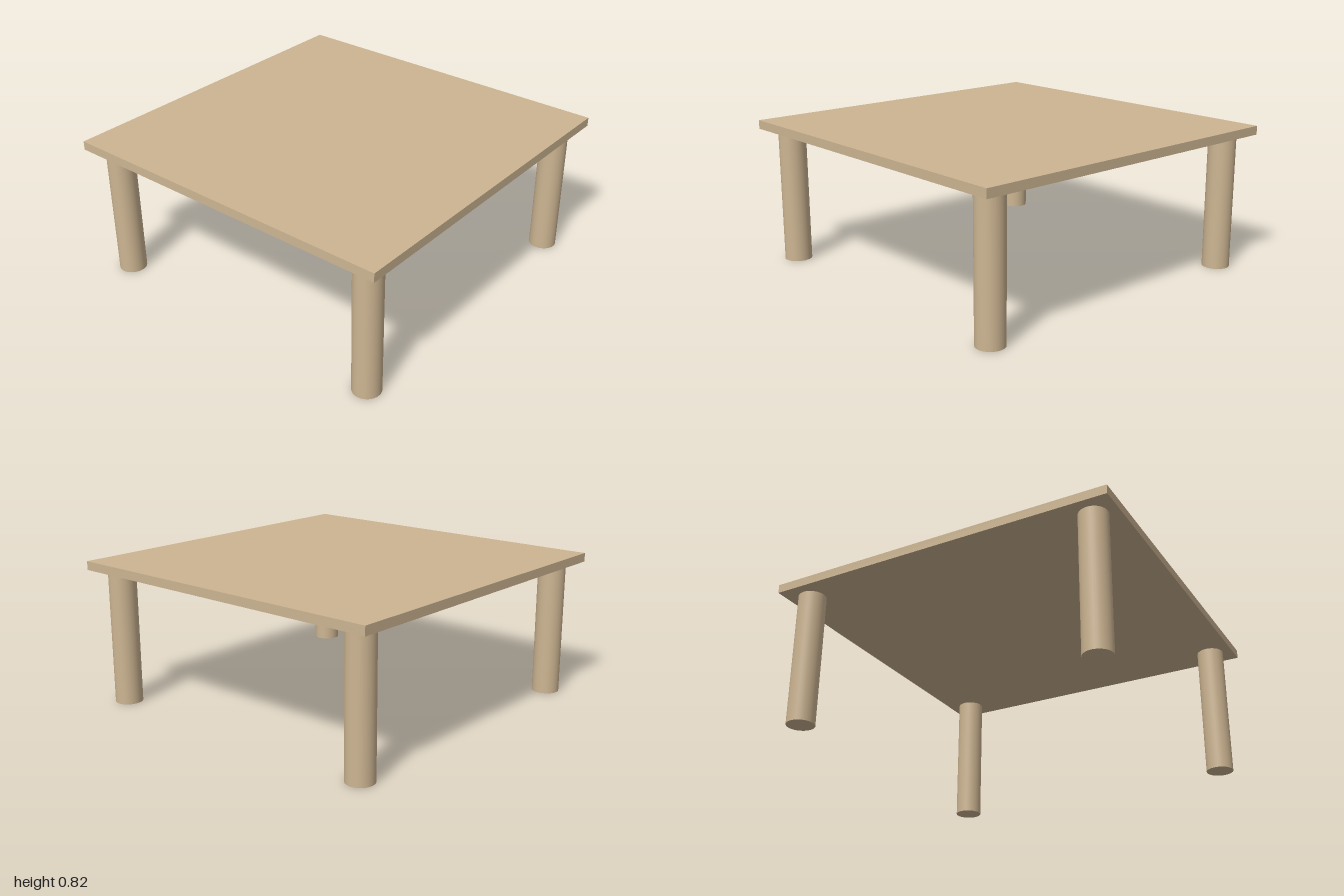
import * as THREE from 'three';

export function createModel() {
  const table = new THREE.Group();
  table.name = 'table';
  const wood = new THREE.MeshStandardMaterial({ color: 0xcdb592 });

  const height = 0.825, topThickness = 0.05;
  const legHeight = height - topThickness;
  const legRadius = 0.078, legOffset = 0.866;

  // Square table top
  const top = new THREE.Mesh(new THREE.BoxGeometry(2, topThickness, 2), wood);
  top.name = 'tableTop';
  top.position.y = height - topThickness / 2;
  table.add(top);

  // Four round legs, one near each corner
  const legGeometry = new THREE.CylinderGeometry(legRadius, legRadius, legHeight, 32);
  for (const x of [-1, 1]) {
    for (const z of [-1, 1]) {
      const leg = new THREE.Mesh(legGeometry, wood);
      leg.name = `${z > 0 ? 'front' : 'back'}${x > 0 ? 'Left' : 'Right'}Leg`;
      leg.position.set(x * legOffset, legHeight / 2, z * legOffset);
      table.add(leg);
    }
  }

  return table;
}
